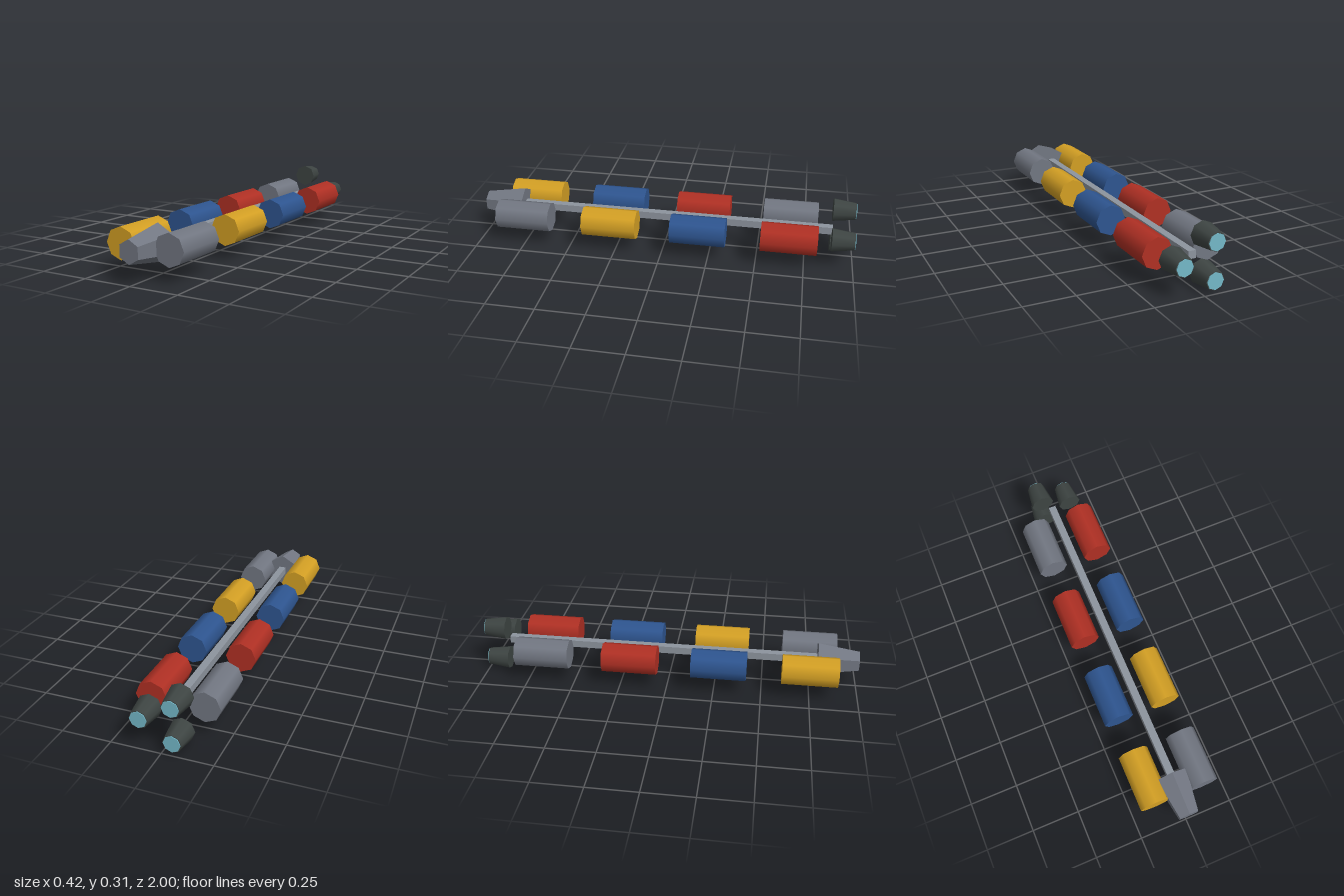
import * as THREE from 'three';

const AXIS_Y = 0.155; // height of the ship's long axis

function material(name, color) {
  const m = new THREE.MeshStandardMaterial({ color });
  m.name = name;
  return m;
}

export function createModel() {
  const ship = new THREE.Group();
  ship.name = 'cargoShip';

  const grey = material('hullGrey', 0x727782);
  const yellow = material('cargoYellow', 0xd4a024);
  const blue = material('cargoBlue', 0x2e5590);
  const red = material('cargoRed', 0xb03024);
  const steel = material('spineSteel', 0x8d949e);
  const dark = material('engineDark', 0x3e4543);
  const glow = material('engineGlow', 0x74b8c8);

  const add = (name, geometry, mat, x = 0, y = AXIS_Y) => {
    const mesh = new THREE.Mesh(geometry, mat);
    mesh.name = name;
    mesh.position.set(x, y, 0);
    ship.add(mesh);
    return mesh;
  };

  // Prism or frustum lying along z, from zBack to zFront
  const barrel = (rFront, rBack, zBack, zFront, sides) =>
    new THREE.CylinderGeometry(rFront, rBack, zFront - zBack, sides)
      .rotateX(Math.PI / 2)
      .translate(0, 0, (zFront + zBack) / 2);

  // Spine
  add('spine', new THREE.BoxGeometry(0.039, 0.039, 1.7).translate(0, 0, -0.035), steel);

  // Cockpit: faceted hexagonal frustum
  const cockpit = barrel(0.057, 0.092, 0.785, 1, 6).toNonIndexed();
  cockpit.computeVertexNormals();
  add('cockpit', cockpit, grey);

  // Cargo pods in pairs, the colours shifted by one between the sides
  const colours = [grey, yellow, blue, red];
  for (let i = 0; i < 4; i++) {
    const z = 0.745 - i * 0.47;
    const pod = barrel(0.079, 0.079, z - 0.144, z + 0.144, 8);
    add('leftCargoPod' + (i + 1), pod, colours[i], 0.1315);
    add('rightCargoPod' + (i + 1), pod, colours[(i + 1) % 4], -0.1315);
  }

  // Three engines around the axis, each with a glowing nozzle disc
  const bell = barrel(0.062, 0.046, -0.996, -0.88, 8);
  const disc = barrel(0.042, 0.042, -1, -0.995, 8);
  for (let i = 0; i < 3; i++) {
    const a = (i * Math.PI * 2) / 3;
    const x = 0.105 * Math.cos(a);
    const y = AXIS_Y + 0.105 * Math.sin(a);
    add('engine' + (i + 1), bell, dark, x, y);
    add('engineGlow' + (i + 1), disc, glow, x, y);
  }

  return ship;
}
